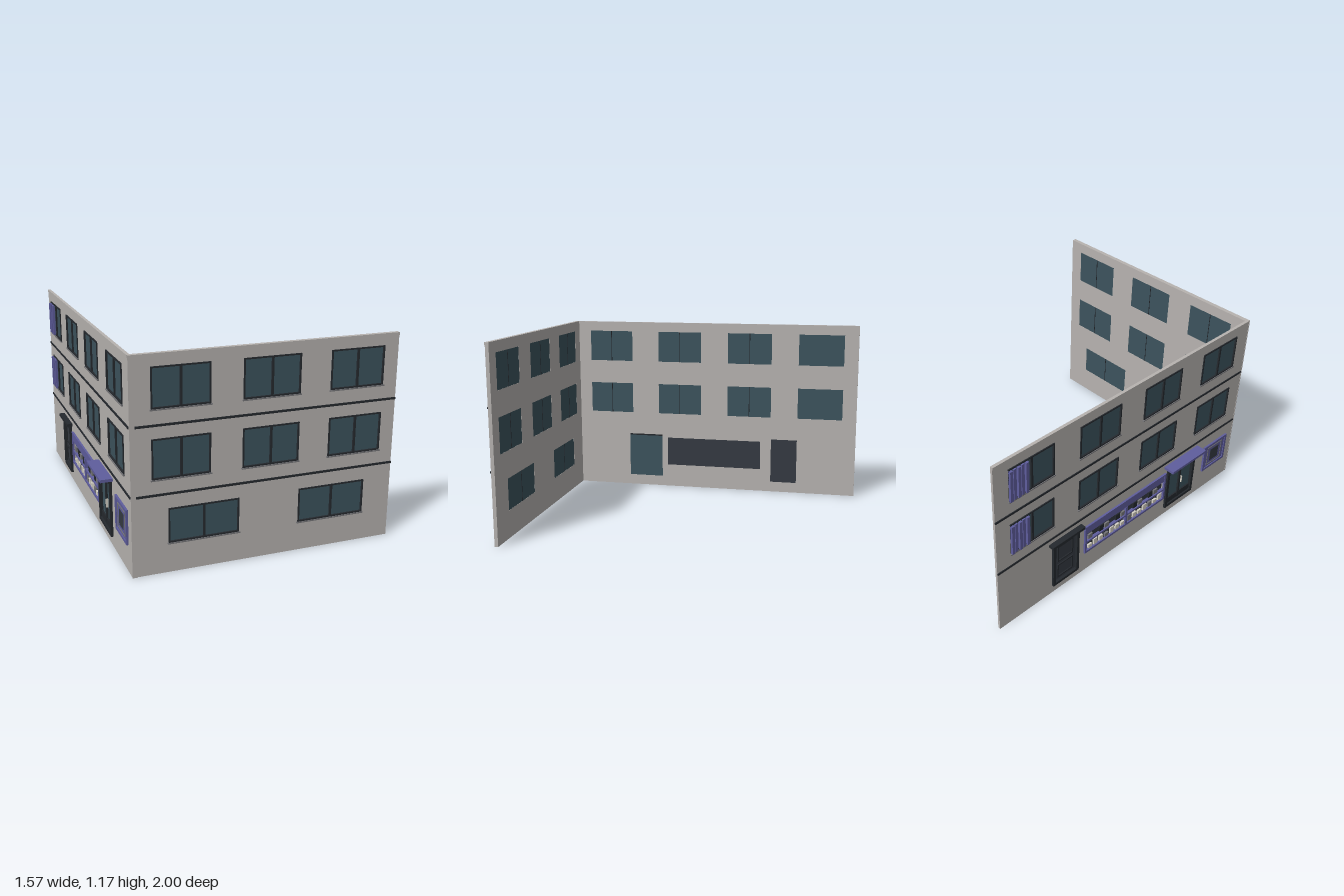
import * as THREE from 'three';

const mat = (name, color) => {
  const m = new THREE.MeshStandardMaterial({ color });
  m.name = name;
  return m;
};

export function createModel() {
  const M = {
    wall: mat('wall grey', 0xb7b3b0),
    glass: mat('window glass', 0x3c535d),
    dark: mat('dark frame', 0x25292e),
    slate: mat('slate panel', 0x353a42),
    purple: mat('shop purple', 0x5f5e9e),
    sill: mat('sill grey', 0x77777a),
    cream: mat('cream goods', 0xd6d2c6),
  };
  const H = 1.175;

  // Box between two corners: u along the wall, y up, d outward from the wall face
  const box = (parent, name, m, u0, u1, y0, y1, d0, d1) => {
    const mesh = new THREE.Mesh(new THREE.BoxGeometry(u1 - u0, y1 - y0, d1 - d0), m);
    mesh.position.set((u0 + u1) / 2, (y0 + y1) / 2, (d0 + d1) / 2);
    mesh.name = name;
    parent.add(mesh);
    return mesh;
  };

  // Four bars around a rectangle
  const frame = (parent, name, m, u0, u1, y0, y1, w, d0, d1) => {
    const g = new THREE.Group();
    g.name = name;
    box(g, 'leftBar', m, u0, u0 + w, y0, y1, d0, d1);
    box(g, 'rightBar', m, u1 - w, u1, y0, y1, d0, d1);
    box(g, 'bottomBar', m, u0 + w, u1 - w, y0, y0 + w, d0, d1);
    box(g, 'topBar', m, u0 + w, u1 - w, y1 - w, y1, d0, d1);
    parent.add(g);
    return g;
  };

  // Wall slab with rectangular openings
  const wall = (parent, u0, u1, t, holes) => {
    const rect = (P, a, b, c, d) => {
      const p = new P();
      p.moveTo(a, c);
      p.lineTo(b, c);
      p.lineTo(b, d);
      p.lineTo(a, d);
      p.closePath();
      return p;
    };
    const s = rect(THREE.Shape, u0, u1, 0, H);
    holes.forEach(h => s.holes.push(rect(THREE.Path, ...h)));
    const geo = new THREE.ExtrudeGeometry(s, { depth: t, bevelEnabled: false });
    geo.translate(0, 0, -t);
    const mesh = new THREE.Mesh(geo, M.wall);
    mesh.name = 'wallSlab';
    parent.add(mesh);
  };

  // Two-pane window with frame, mullion and sill
  const windowUnit = (parent, [u0, u1, y0, y1], t, innerBar = true) => {
    const g = new THREE.Group();
    g.name = 'window';
    const c = (u0 + u1) / 2;
    box(g, 'glass', M.glass, u0, u1, y0, y1, -t + 0.001, -0.004);
    frame(g, 'frame', M.dark, u0, u1, y0, y1, 0.008, -0.004, 0.006);
    box(g, 'mullion', M.dark, c - 0.006, c + 0.006, y0, y1, -0.004, 0.005);
    if (innerBar) box(g, 'innerMullion', M.dark, c - 0.002, c + 0.002, y0, y1, -t - 0.001, -t + 0.002);
    box(g, 'sill', M.sill, u0 - 0.006, u1 + 0.006, y0 - 0.007, y0, -0.002, 0.01);
    parent.add(g);
  };

  const bands = (parent, u0, u1) => [0.44, 0.81].forEach(y =>
    box(parent, 'floorBand', M.dark, u0, u1, y - 0.006, y + 0.006, -0.001, 0.005));

  const model = new THREE.Group();
  model.name = 'cornerBuilding';

  // Front facade
  const front = new THREE.Group();
  front.name = 'frontFacade';
  front.position.z = 0.988;
  const frontHoles = [];
  for (const [y0, y1] of [[0.525, 0.74], [0.895, 1.11]])
    for (const [a, b] of [[-0.605, -0.29], [-0.115, 0.205], [0.38, 0.695]]) frontHoles.push([a, b, y0, y1]);
  frontHoles.push([-0.52, -0.13, 0.168, 0.36], [0.215, 0.61, 0.168, 0.36]);
  wall(front, -0.715, 0.78, 0.022, frontHoles);
  frontHoles.forEach(h => windowUnit(front, h, 0.022));
  bands(front, -0.69, 0.78);
  box(front, 'cornerTrim', M.wall, -0.717, -0.69, 0, H, -0.001, 0.004);
  box(front, 'topTrim', M.wall, -0.69, 0.78, 1.16, H, -0.001, 0.004);
  model.add(front);

  // Street side facade: u runs along world z, outward is -x
  const side = new THREE.Group();
  side.name = 'shopFacade';
  side.position.x = -0.715;
  side.rotation.y = -Math.PI / 2;
  const T = 0.015;
  const sideWindows = [];
  for (const [y0, y1] of [[0.53, 0.74], [0.9, 1.11]])
    for (const [a, b] of [[-0.905, -0.6], [-0.415, -0.11], [0.08, 0.385], [0.575, 0.88]]) sideWindows.push([a, b, y0, y1]);
  const darkDoor = [-0.6, -0.42, 0.07, 0.375];
  const shopDoor = [0.36, 0.6, 0.07, 0.375];
  const display = [-0.345, 0.32, 0.157, 0.355];
  wall(side, -1, 0.966, T, [...sideWindows, darkDoor, shopDoor, display]);
  sideWindows.forEach(h => windowUnit(side, h, T, h[0] > -0.9));
  bands(side, -1, 0.98);
  box(side, 'topTrim', M.wall, -1, 0.98, 1.16, H, -0.001, 0.003);

  // Folded curtains on the end windows
  for (const y of [0.53, 0.9])
    for (let i = 0; i < 5; i++)
      box(side, 'curtainFold', M.purple, -0.905 + i * 0.026, -0.887 + i * 0.026, y + 0.003, y + 0.2, 0.003, i % 2 ? 0.013 : 0.018);

  // Dark door with hood
  const door = new THREE.Group();
  door.name = 'darkDoor';
  box(door, 'leaf', M.slate, ...darkDoor, -T + 0.001, -0.002);
  frame(door, 'doorFrame', M.dark, -0.61, -0.41, 0.06, 0.385, 0.018, -0.002, 0.015);
  for (const [a, b] of [[0.1, 0.2], [0.225, 0.345]])
    frame(door, 'panelMoulding', M.dark, -0.57, -0.45, a, b, 0.008, -0.002, 0.005);
  box(door, 'hood', M.dark, -0.632, -0.385, 0.385, 0.402, 0, 0.034);
  side.add(door);

  // Shop door with canopy
  const shop = new THREE.Group();
  shop.name = 'shopDoor';
  box(shop, 'glassLeaf', M.glass, 0.36, 0.6, 0.07, 0.365, -T + 0.001, -0.005);
  box(shop, 'doorHead', M.dark, 0.36, 0.6, 0.365, 0.375, -T, 0.004);
  frame(shop, 'doorFrame', M.dark, 0.35, 0.61, 0.06, 0.385, 0.02, -0.005, 0.014);
  box(shop, 'doorStile', M.dark, 0.472, 0.488, 0.08, 0.365, -0.005, 0.006);
  box(shop, 'kickPanel', M.dark, 0.37, 0.59, 0.08, 0.12, -0.005, 0.004);
  box(shop, 'handle', M.cream, 0.495, 0.501, 0.19, 0.24, -0.004, 0.01);
  box(shop, 'canopy', M.purple, 0.322, 0.632, 0.395, 0.412, 0, 0.07);
  side.add(shop);

  // Display window with shelves of goods
  const disp = new THREE.Group();
  disp.name = 'displayWindow';
  box(disp, 'backPanel', M.slate, ...display, -T + 0.001, -0.008);
  frame(disp, 'displayFrame', M.purple, -0.36, 0.335, 0.15, 0.358, 0.014, -0.002, 0.012);
  box(disp, 'header', M.purple, -0.346, 0.321, 0.3, 0.344, -0.008, 0.009);
  box(disp, 'shelf', M.purple, -0.346, 0.321, 0.226, 0.238, -0.008, 0.01);
  box(disp, 'centrePost', M.purple, -0.02, -0.004, 0.164, 0.3, -0.008, 0.011);
  for (let i = 0; i < 14; i++) {
    const u = -0.325 + i * 0.046 + (i > 6 ? 0.012 : 0);
    const h = 0.026 + 0.018 * ((i * 5) % 3) / 2;
    box(disp, 'lowerGoods', i % 4 === 3 ? M.sill : M.cream, u, u + 0.03, 0.164, 0.164 + h, -0.008, 0.004);
    if (i % 3 !== 1) box(disp, 'upperGoods', i % 3 ? M.dark : M.sill, u, u + 0.034, 0.238, 0.245 + h, -0.008, 0.002);
  }
  side.add(disp);

  // Framed notice board
  const board = new THREE.Group();
  board.name = 'noticeBoard';
  box(board, 'panel', M.purple, 0.705, 0.925, 0.157, 0.353, 0, 0.006);
  frame(board, 'boardFrame', M.purple, 0.705, 0.925, 0.157, 0.353, 0.016, 0.006, 0.012);
  frame(board, 'innerBorder', M.sill, 0.745, 0.885, 0.185, 0.325, 0.006, 0.006, 0.009);
  box(board, 'notice', M.slate, 0.775, 0.855, 0.21, 0.3, 0.006, 0.008);
  side.add(board);

  model.add(side);
  return model;
}
